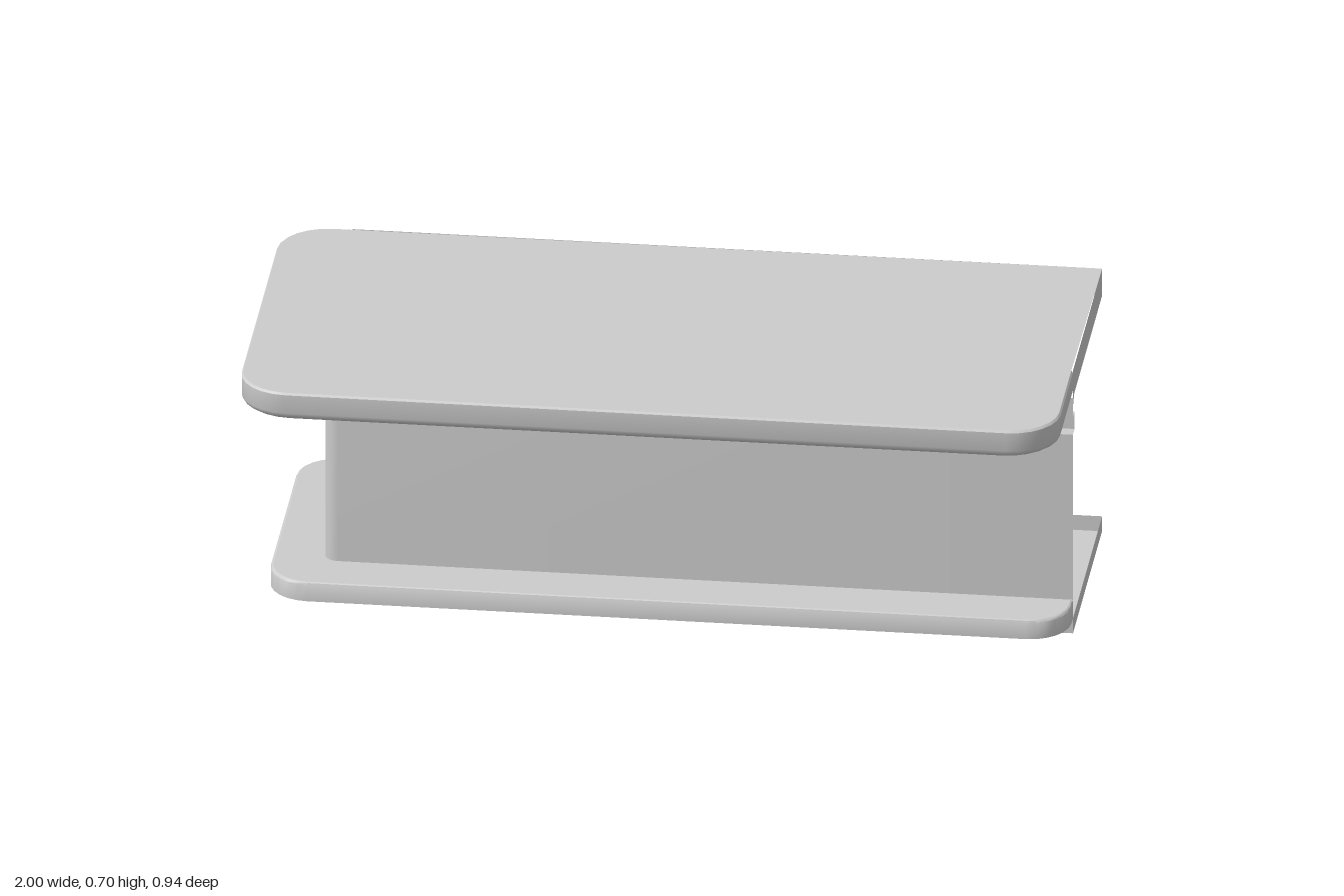
import * as THREE from 'three';
import { toCreasedNormals } from 'three/addons/utils/BufferGeometryUtils.js';

const material = new THREE.MeshStandardMaterial({ color: 0xcccccc, side: THREE.DoubleSide });

// Main plan positions: x to the side, z to the front
const RIGHT = 1, BACK = -0.47, WALL_X = -0.83, WALL_Z = 0.11;
const V = (x, z) => new THREE.Vector2(x, z);

// Plan path through [x, z, radius] points, with arcs at right-angled corners
function roundedPath(points, segments = 6) {
  const out = [];
  points.forEach(([x, z, r], i) => {
    const p = V(x, z);
    if (!r) return out.push(p);
    const a = V(points[i - 1][0], points[i - 1][1]).sub(p).normalize().multiplyScalar(r);
    const b = V(points[i + 1][0], points[i + 1][1]).sub(p).normalize().multiplyScalar(r);
    for (let k = 0; k <= segments; k++) {
      const t = (k / segments) * Math.PI / 2;
      out.push(p.clone().addScaledVector(a, 1 - Math.sin(t)).addScaledVector(b, 1 - Math.cos(t)));
    }
  });
  return out;
}

// L-shaped wall line, moved inwards by inset
const wallPath = (inset = 0) => roundedPath([
  [RIGHT, WALL_Z - inset], [WALL_X + inset, WALL_Z - inset, 0.035], [WALL_X + inset, BACK]]);

// Overhanging edge around the wall, from its right end to its back end
const rimPath = (left, front, r, inset = 0) => roundedPath([
  [RIGHT - inset, WALL_Z], [RIGHT - inset, front - inset, r], [left + inset, front - inset, r],
  [left + inset, BACK + inset, r], [WALL_X, BACK + inset]]);

// Surface between rows of { path, y }
function loft(rows) {
  const n = rows[0].path.length, pos = [], index = [];
  for (const { path, y } of rows) for (const p of path) pos.push(p.x, y, p.y);
  for (let j = 0; j < rows.length - 1; j++) {
    for (let i = 0; i < n - 1; i++) {
      const a = j * n + i, b = a + n;
      index.push(a, b, a + 1, a + 1, b, b + 1);
    }
  }
  const g = new THREE.BufferGeometry();
  g.setAttribute('position', new THREE.Float32BufferAttribute(pos, 3));
  g.setIndex(index);
  return toCreasedNormals(g, Math.PI / 5);
}

// Flat horizontal sheet with the given outline
const sheet = (path, y) =>
  new THREE.ShapeGeometry(new THREE.Shape(path)).rotateX(Math.PI / 2).translate(0, y, 0);

export function createModel() {
  const group = new THREE.Group();
  const add = (name, geometry) => {
    const mesh = new THREE.Mesh(geometry, material);
    mesh.name = name;
    group.add(mesh);
  };
  const corner = V(RIGHT, BACK);
  const backEdge = [V(WALL_X, BACK), corner, V(RIGHT, WALL_Z)];
  const wallBack = wallPath().reverse();

  // Plinth, floor and the low lip on the two open sides
  add('plinth', loft([0, 0.04].map((y) => ({ path: wallPath(), y }))));
  add('floor', sheet([...wallPath(), corner], 0));
  add('floorLip', loft([0, 0.04].map((y) => ({ path: backEdge, y }))));

  // Foot ledge
  const ledge = (inset) => rimPath(-0.955, 0.24, 0.1, inset);
  add('ledgeEdge', loft([[0, 0.04], [0, 0.084], [0.002, 0.088], [0.006, 0.09]]
    .map(([i, y]) => ({ path: ledge(i), y }))));
  add('ledgeUnderside', sheet([...ledge(0), ...wallBack], 0.04));
  add('ledgeTop', sheet([...ledge(0.006), ...wallBack], 0.09));

  // Wall with the recessed groove near its top
  add('wall', loft([[0, 0.09], [0, 0.533], [0.033, 0.533], [0.033, 0.58], [0, 0.58], [0, 0.632]]
    .map(([i, y]) => ({ path: wallPath(i), y }))));

  // Counter top with a rounded lower edge
  const counter = (inset) => rimPath(-1, 0.47, 0.12, inset);
  add('counterEdge', loft([[0.02, 0.632], [0.01, 0.635], [0.003, 0.642], [0, 0.652], [0, 0.7], [0.004, 0.705]]
    .map(([i, y]) => ({ path: counter(i), y }))));
  add('counterUnderside', sheet([...counter(0.02), ...wallBack], 0.632));
  add('counterTop', sheet([...counter(0.004), corner], 0.705));
  add('counterLip', loft([0.632, 0.705].map((y) => ({ path: backEdge, y }))));

  // Small gusset where the wall end meets the counter lip
  const gusset = new THREE.Shape([V(-WALL_Z, 0.632), V(-WALL_Z, 0.607), V(-WALL_Z + 0.025, 0.632)]);
  add('gusset', new THREE.ShapeGeometry(gusset).rotateY(Math.PI / 2).translate(RIGHT, 0, 0));
  return group;
}
